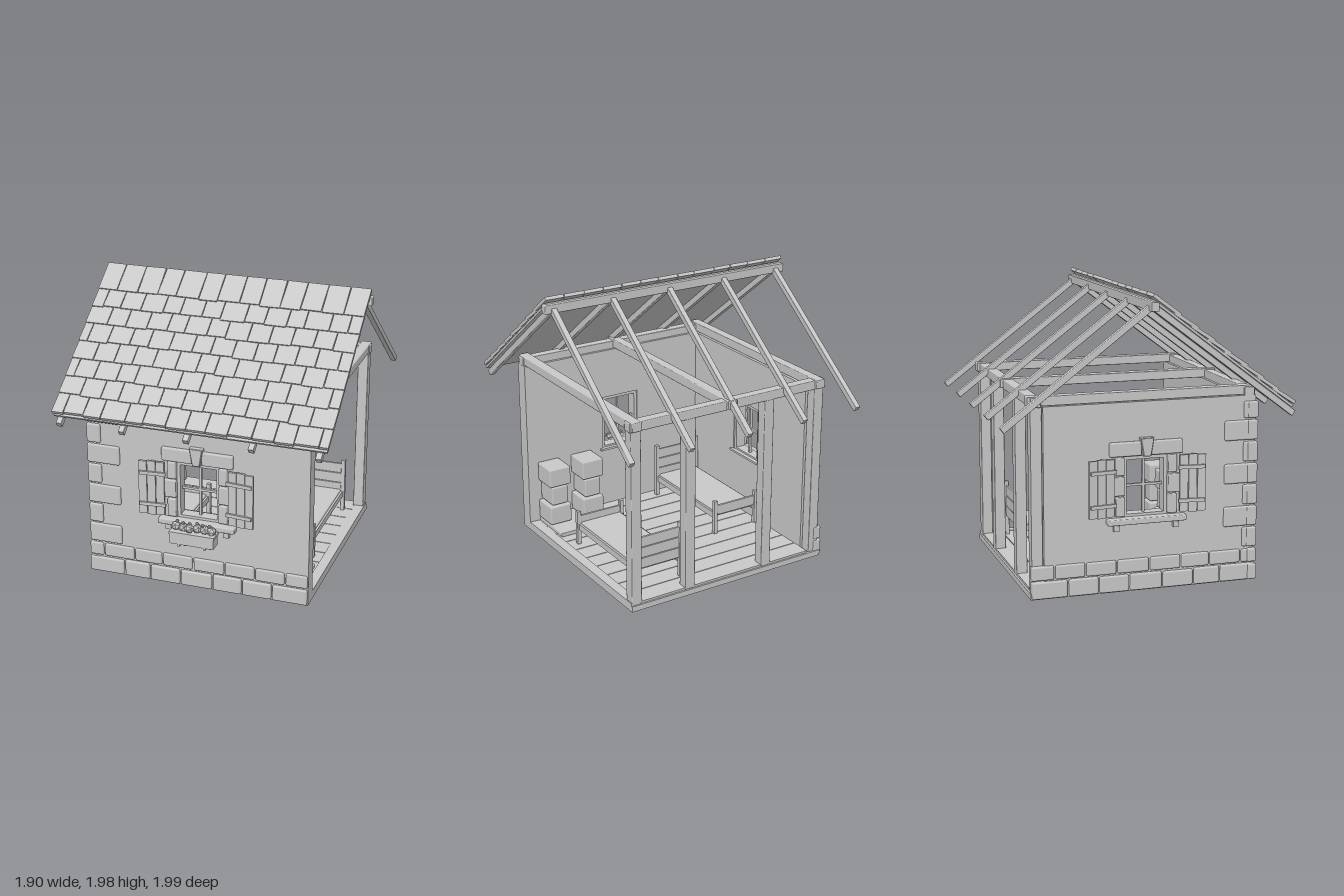
import * as THREE from 'three';
import { RoundedBoxGeometry } from 'three/addons/geometries/RoundedBoxGeometry.js';

export function createModel() {
  const model = new THREE.Group();
  model.name = 'cottage';
  const grey = new THREE.MeshStandardMaterial({ color: 0xc8c8c8 });
  grey.name = 'lightGrey';

  let seed = 7;
  const rand = () => (seed = (seed * 16807) % 2147483647) / 2147483647;
  const jitter = (a) => (rand() - 0.5) * 2 * a;

  const group = (name, parent = model) => {
    const g = new THREE.Group();
    g.name = name;
    parent.add(g);
    return g;
  };
  const add = (parent, name, geo) => {
    const m = new THREE.Mesh(geo, grey);
    m.name = name;
    parent.add(m);
    return m;
  };
  // Box given by its extents along each axis
  const box = (parent, name, x0, x1, y0, y1, z0, z1, bevel = 0) => {
    const [w, h, d] = [x1 - x0, y1 - y0, z1 - z0];
    const geo = bevel ? new RoundedBoxGeometry(w, h, d, 1, bevel) : new THREE.BoxGeometry(w, h, d);
    const m = add(parent, name, geo);
    m.position.set((x0 + x1) / 2, (y0 + y1) / 2, (z0 + z1) / 2);
    return m;
  };

  // Floor slab and boards
  const floor = group('floor');
  box(floor, 'floorSlab', -0.77, 0.77, 0, 0.04, -0.78, 0.77);
  for (let i = 0; i < 10; i++) {
    const z = -0.77 + i * 0.147;
    box(floor, 'floorBoard', -0.67, 0.7, 0.04, 0.055, z + 0.003, Math.min(z + 0.144, 0.68));
  }
  box(floor, 'sideSill', 0.7, 0.77, 0.03, 0.06, -0.77, 0.68);

  // Wall panel with a window opening, lying on the local +z side
  const wall = (parent, x0, x1) => {
    const s = new THREE.Shape();
    s.moveTo(x0, 0.02).lineTo(x1, 0.02).lineTo(x1, 1.27).lineTo(x0, 1.27).closePath();
    const h = new THREE.Path();
    h.moveTo(-0.15, 0.5).lineTo(-0.15, 0.91).lineTo(0.15, 0.91).lineTo(0.15, 0.5).closePath();
    s.holes.push(h);
    add(parent, 'wallPanel', new THREE.ExtrudeGeometry(s, { depth: 0.1, bevelEnabled: false })).position.z = 0.67;
  };

  // Window joinery, stone surround, sill and shutters
  const windowSet = (parent) => {
    const w = group('window', parent);
    for (const s of [-1, 1]) {
      box(w, 'frameSide', s * 0.14 - 0.012, s * 0.14 + 0.012, 0.5, 0.91, 0.68, 0.76);
      box(w, 'frameRail', -0.15, 0.15, s < 0 ? 0.5 : 0.887, s < 0 ? 0.523 : 0.91, 0.68, 0.76);
      [[0.79, 0.91, 0.21], [0.655, 0.78, 0.235], [0.515, 0.645, 0.21]].forEach(([y0, y1, x]) => {
        const c = s * (x + 0.15) / 2, hw = (x - 0.15) / 2;
        box(w, 'jambStone', c - hw, c + hw, y0, y1, 0.74, 0.795, 0.008);
      });
      box(w, 'lintelStone', s * 0.142 - 0.108, s * 0.142 + 0.108, 0.915, 1.01, 0.74, 0.795, 0.01);
      box(w, 'sillBracket', s * 0.205 - 0.02, s * 0.205 + 0.02, 0.42, 0.47, 0.76, 0.8);
      // Shutter hinged next to the jamb and slightly open
      const sh = group('shutter', w);
      sh.position.set(s * 0.225, 0, 0.79);
      sh.rotation.y = -s * 0.1;
      for (let i = 0; i < 3; i++) {
        const c = s * (0.03 + 0.06 * i);
        const d = i === 1 ? 0 : 0.004;
        box(sh, 'shutterPlank', c - 0.028, c + 0.028, 0.52 + d, 0.91 - d, 0, 0.018);
      }
      for (const y of [0.6, 0.825]) box(sh, 'shutterBatten', s * 0.08 - 0.09, s * 0.08 + 0.09, y - 0.012, y + 0.012, 0.016, 0.032);
    }
    box(w, 'mullion', -0.008, 0.008, 0.51, 0.9, 0.705, 0.725);
    box(w, 'glazingBar', -0.14, 0.14, 0.7, 0.716, 0.705, 0.725);
    const key = new THREE.Shape();
    key.moveTo(-0.022, 0.915).lineTo(0.022, 0.915).lineTo(0.042, 1.03).lineTo(-0.042, 1.03).closePath();
    add(w, 'keystone', new THREE.ExtrudeGeometry(key, { depth: 0.055, bevelSize: 0.004, bevelThickness: 0.004, bevelSegments: 1 })).position.z = 0.75;
    box(w, 'outerSill', -0.27, 0.27, 0.465, 0.505, 0.74, 0.825, 0.008);
    box(w, 'innerSill', -0.17, 0.17, 0.495, 0.51, 0.65, 0.7);
  };

  // Two plinth courses and corner stones along a wall
  const stonework = (parent, x0, x1, flip) => {
    const g = group('stonework', parent);
    const rows = [[0.005, 0.118, [0, 0.26, 0.45, 0.67, 0.9, 1.11, 1.32, 1.57], 0.79],
      [0.128, 0.22, [0, 0.11, 0.335, 0.54, 0.76, 0.985, 1.2, 1.41, 1.57], 0.785]];
    for (const [y0, y1, cuts, z] of rows) {
      for (let i = 0; i + 1 < cuts.length; i++) {
        const k = (x1 - x0) / 1.57;
        const a = flip ? x1 - cuts[i + 1] * k : x0 + cuts[i] * k;
        const b = flip ? x1 - cuts[i] * k : x0 + cuts[i + 1] * k;
        box(g, 'plinthStone', a + 0.005, b - 0.005, y0, y1 + jitter(0.004), 0.72, z, 0.012);
      }
    }
    for (let i = 0; i < 7; i++) {
      const y = 0.235 + i * 0.147;
      const len = (i % 2 === 0) !== flip ? 0.235 : 0.1;
      const a = flip ? x1 - len : x0 + 0.01;
      box(g, 'cornerStone', a, a + len, y, Math.min(y + 0.135, 1.23), 0.71, 0.786, 0.012);
    }
  };

  const front = group('frontWall');
  wall(front, -0.77, 0.77);
  windowSet(front);
  stonework(front, -0.8, 0.77, false);

  const side = group('sideWall');
  side.rotation.y = -Math.PI / 2;
  wall(side, -0.69, 0.67);
  windowSet(side);
  stonework(side, -0.78, 0.785, true);

  // Flower box under the front window
  const fb = group('flowerBox');
  box(fb, 'planter', -0.153, 0.153, 0.375, 0.455, 0.815, 0.905);
  box(fb, 'planterRim', -0.158, 0.158, 0.445, 0.462, 0.81, 0.91);
  for (const x of [-0.09, 0.09]) {
    box(fb, 'planterArm', x - 0.008, x + 0.008, 0.36, 0.375, 0.77, 0.905);
    box(fb, 'planterStrut', x - 0.008, x + 0.008, 0.305, 0.37, 0.77, 0.785);
  }
  for (let i = 0; i < 6; i++) {
    const f = add(fb, 'flower', new THREE.IcosahedronGeometry(0.034, 0).toNonIndexed());
    f.position.set(-0.125 + i * 0.05, 0.487 + jitter(0.008), 0.86 + jitter(0.02));
    f.rotation.set(rand() * 3, rand() * 3, 0);
    const bud = add(fb, 'bud', new THREE.IcosahedronGeometry(0.014, 0));
    bud.position.set(-0.115 + i * 0.046, 0.523, 0.87 + jitter(0.02));
  }

  // Timber posts, plates and tie beams
  const frame = group('timberFrame');
  for (const x of [-0.72, -0.31, 0.31, 0.725]) box(frame, 'post', x - 0.038, x + 0.038, 0.04, 1.27, -0.77, -0.694, 0.006);
  box(frame, 'backPlate', -0.77, 0.77, 1.265, 1.33, -0.77, -0.7, 0.006);
  box(frame, 'frontPlate', -0.77, 0.77, 1.265, 1.325, 0.69, 0.76, 0.006);
  for (const x of [-0.72, 0, 0.725]) box(frame, 'tieBeam', x - 0.036, x + 0.036, 1.272, 1.335, -0.79, 0.77, 0.006);
  box(frame, 'ridgeBeam', -0.95, 0.95, 1.87, 1.93, -0.027, 0.027, 0.006);

  // Rafters on both slopes; local z runs down the slope
  const slope = (name, turn) => {
    const g = group(name);
    g.position.y = 1.925;
    g.rotation.set(0.646, turn, 0, 'YXZ');
    for (const x of [-0.885, -0.443, 0, 0.44, 0.88]) box(g, 'rafter', x - 0.02, x + 0.02, -0.042, 0, 0.02, 1.25, 0.005);
    return g;
  };
  slope('backSlope', Math.PI);
  const roof = slope('frontSlope', 0);
  box(roof, 'roofDeck', -0.93, 0.93, 0, 0.016, 0, 1.2);

  // Overlapping shingles in staggered courses
  for (let r = 0; r < 8; r++) {
    const end = 0.19 + r * 0.143, n = 13, step = 1.88 / n;
    const cuts = [-0.94];
    for (let i = 0; i < n; i++) cuts.push(-0.94 + (i + (r % 2 ? 0.5 : 1)) * step + jitter(0.014));
    if (r % 2) cuts.push(0.94);
    else cuts[n] = 0.94;
    for (let i = 0; i + 1 < cuts.length; i++) {
      const len = r ? 0.185 : 0.225;
      const t = box(roof, 'shingle', cuts[i] + 0.002, cuts[i + 1] - 0.003, 0.02, 0.043, end - len, end + jitter(0.006));
      t.rotation.set(-0.06 * (r ? 1 : 0.3) + jitter(0.01), jitter(0.015), 0);
      if (!r) t.position.y += 0.004;
    }
  }

  // Beds with a tall slatted head and a low foot
  const bed = (x, z, turn) => {
    const b = group('bed');
    b.position.set(x, 0, z);
    b.rotation.y = turn;
    for (const [pz, top, slats] of [[-0.4, 0.46, 3], [0.39, 0.31, 1]]) {
      for (const s of [-1, 1]) box(b, 'bedPost', s * 0.175 - 0.015, s * 0.175 + 0.015, 0.055, top, pz - 0.015, pz + 0.015, 0.003);
      for (let i = 0; i < slats; i++) box(b, 'endSlat', -0.165, 0.165, 0.2 + i * 0.078, 0.272 + i * 0.078, pz - 0.008, pz + 0.008);
    }
    for (const s of [-1, 1]) box(b, 'bedRail', s * 0.165 - 0.01, s * 0.165 + 0.01, 0.165, 0.21, -0.39, 0.38);
    box(b, 'mattress', -0.16, 0.16, 0.18, 0.225, -0.39, 0.38, 0.008);
  };
  bed(0.455, -0.2, 0);
  bed(-0.455, 0.2, Math.PI);

  // Hearth inside the front wall: two stone stacks on a slab
  const hearth = group('hearth');
  box(hearth, 'hearthSlab', 0.27, 0.69, 0.055, 0.085, 0.335, 0.67, 0.006);
  for (const x of [0.34, 0.61]) {
    for (let i = 0; i < 3; i++) {
      const w = i === 1 ? 0.065 : 0.085;
      box(hearth, 'hearthStone', x - w, x + w, 0.09 + i * 0.147, 0.23 + i * 0.147, 0.48 + (i === 1 ? 0.01 : 0), 0.67, 0.012);
    }
  }
  return model;
}
